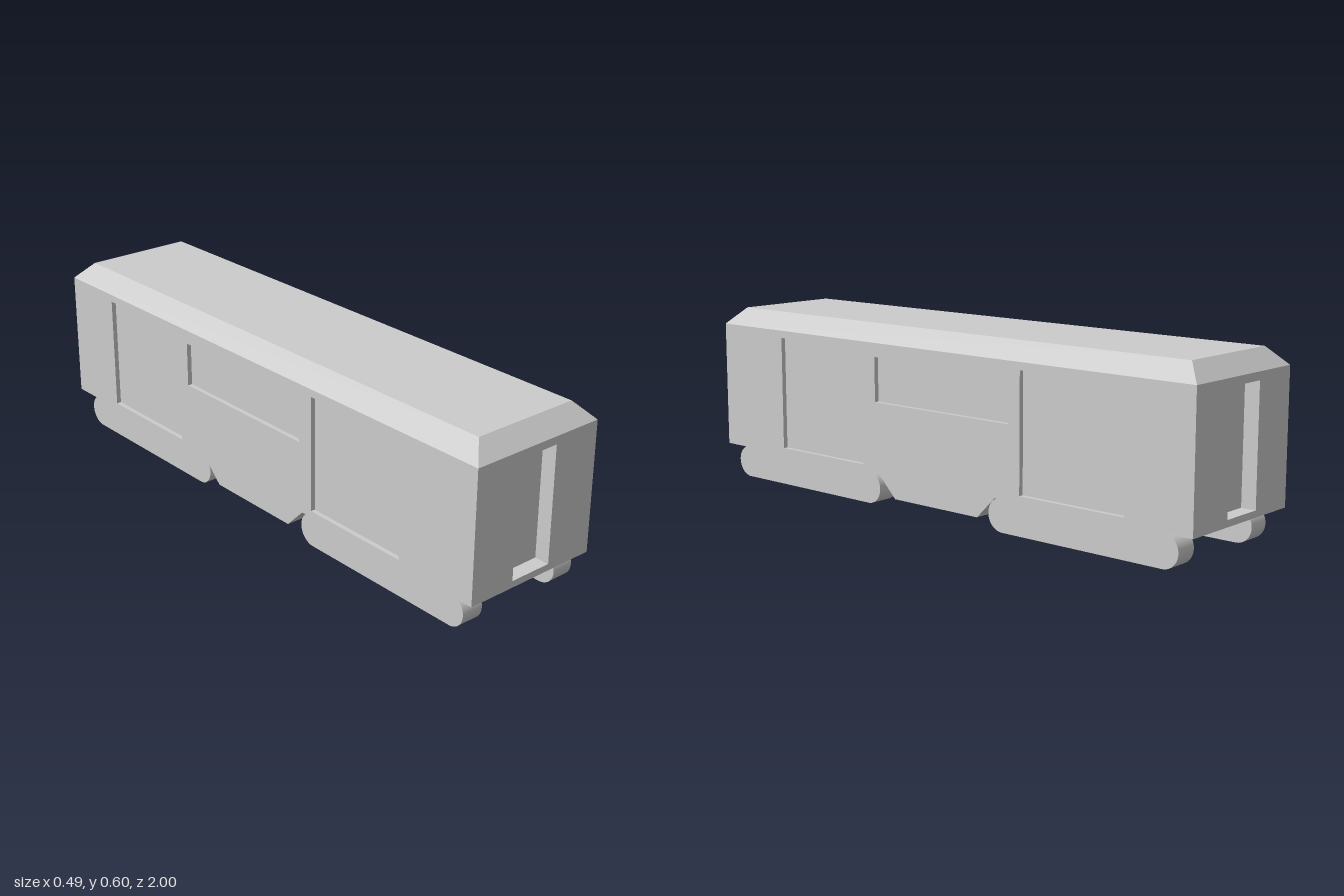
import * as THREE from 'three';

const W = 0.244, L = 1, FLOOR = 0.11, EAVE = 0.543, TOP = 0.6;
const SIDE = 0.016, END = 0.05; // recess depths of side and end openings
const material = new THREE.MeshStandardMaterial({ color: 0xcccccc });

function add(group, geometry, name) {
  const mesh = new THREE.Mesh(geometry, material);
  mesh.name = name;
  group.add(mesh);
  return mesh;
}

function polygon(points) {
  return new THREE.Shape(points.map(([a, b]) => new THREE.Vector2(a, b)));
}

function rect(a0, a1, b0, b1) {
  return polygon([[a0, b0], [a1, b0], [a1, b1], [a0, b1]]);
}

// Extrudes a (z, y) profile across x, from x0 to x1
function acrossX(shape, x0, x1) {
  return new THREE.ExtrudeGeometry(shape, { depth: x1 - x0, bevelEnabled: false, curveSegments: 16 })
    .rotateY(-Math.PI / 2)
    .translate(x1, 0, 0);
}

// Rail profile with fully rounded ends
function stadium(z0, z1, height) {
  const r = height / 2;
  const s = new THREE.Shape();
  s.moveTo(z0 + r, 0);
  s.lineTo(z1 - r, 0);
  s.absarc(z1 - r, r, r, -Math.PI / 2, Math.PI / 2, false);
  s.lineTo(z0 + r, height);
  s.absarc(z0 + r, r, r, Math.PI / 2, Math.PI * 1.5, false);
  return s;
}

export function createModel() {
  const model = new THREE.Group();
  model.name = 'railCar';

  // Inner body: its faces are the backs of the door and window recesses
  const core = new THREE.BoxGeometry(2 * (W - SIDE), EAVE - FLOOR, 2 * (L - END));
  add(model, core.translate(0, (EAVE + FLOOR) / 2, 0), 'innerBody');

  // Side walls with two doors and a window
  const side = rect(-L, L, FLOOR, EAVE);
  side.holes.push(
    rect(0.307, 0.703, 0.132, 0.518),
    rect(-0.763, -0.369, 0.132, 0.518),
    rect(-0.323, 0.249, 0.348, 0.497)
  );
  add(model, acrossX(side, W - SIDE, W), 'leftWall');
  add(model, acrossX(side, -W, SIDE - W), 'rightWall');

  // End walls with a deep doorway
  const end = rect(SIDE - W, W - SIDE, FLOOR, EAVE);
  end.holes.push(rect(-0.079, 0.072, 0.132, 0.517));
  for (const [z, name] of [[L - END, 'frontWall'], [-L, 'backWall']]) {
    const wall = new THREE.ExtrudeGeometry(end, { depth: END, bevelEnabled: false });
    add(model, wall.translate(0, 0, z), name);
  }

  // Roof: a box with its top face drawn in
  const roof = new THREE.BoxGeometry(2 * W, TOP - EAVE, 2 * L).translate(0, (TOP + EAVE) / 2, 0);
  const p = roof.attributes.position;
  for (let i = 0; i < p.count; i++) {
    if (p.getY(i) > EAVE + 0.01) {
      p.setX(i, Math.sign(p.getX(i)) * 0.189);
      p.setZ(i, Math.sign(p.getZ(i)) * 0.945);
    }
  }
  roof.computeVertexNormals();
  add(model, roof, 'roof');

  // Running gear: two rounded bogies and a tapered box below each side
  const box = polygon([[-0.18, 0.03], [0.18, 0.03], [0.26, FLOOR], [-0.26, FLOOR]]);
  for (const [x, boxX, label] of [[0.153, 0.148, 'left'], [-0.23, -0.232, 'right']]) {
    add(model, acrossX(stadium(0.244, 0.956, FLOOR), x, x + 0.077), label + 'FrontBogie');
    add(model, acrossX(stadium(-0.943, -0.232, FLOOR), x, x + 0.077), label + 'BackBogie');
    add(model, acrossX(box, boxX, boxX + 0.077), label + 'EquipmentBox');
  }
  return model;
}
